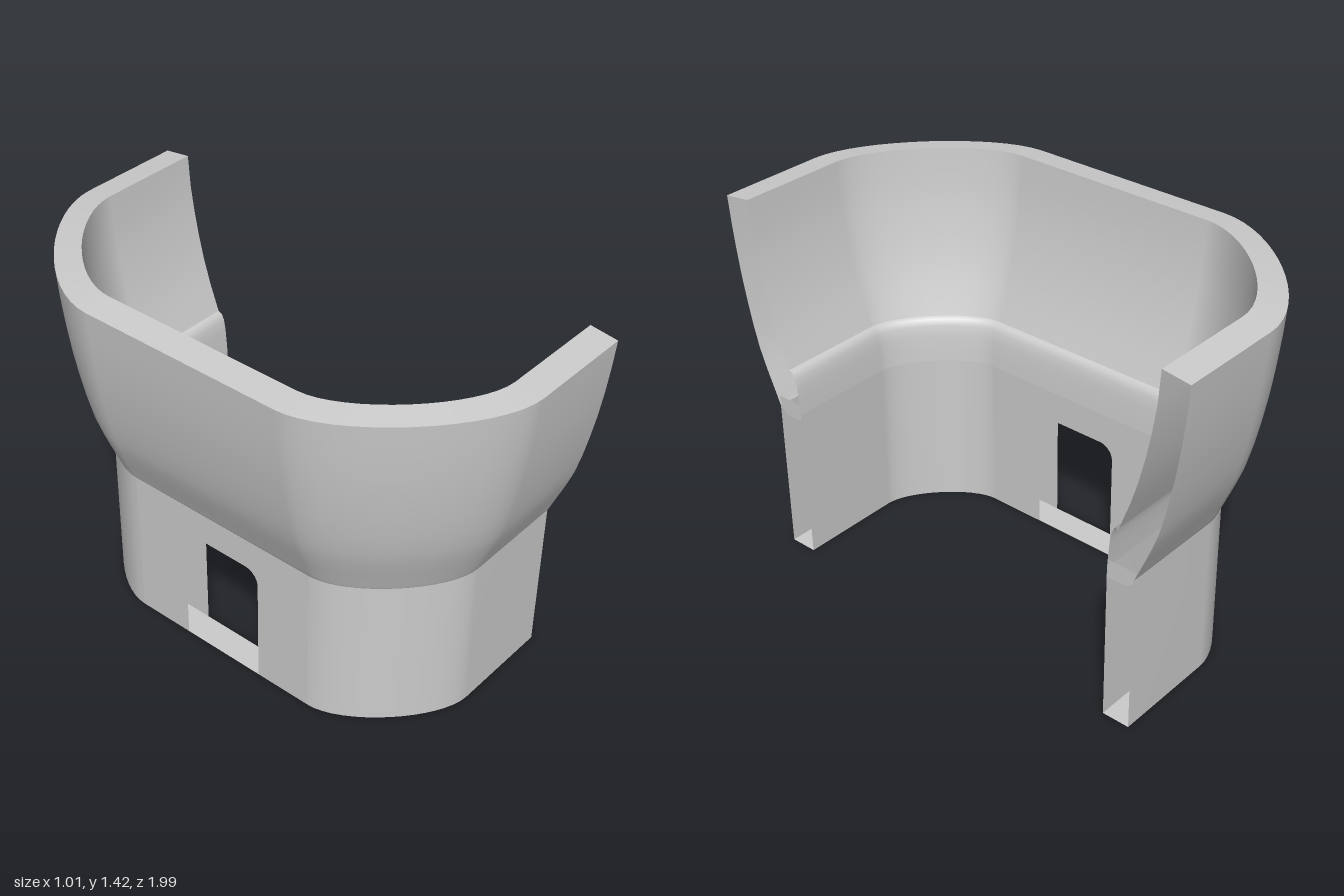
import * as THREE from 'three';

const CX = 0.08, CZ = 0.41, STEPS = 16; // corner centres and corner smoothness
const BAND = 0.615;                     // top of the straight lower band
const R_IN = 0.3, R_OUT = 0.408;        // lower wall offsets from the corner centres
const HANDLE = 0.38;                    // corner curve handle, flatter than a circle

const material = new THREE.MeshStandardMaterial({ color: 0xcccccc, side: THREE.DoubleSide });

// Quarter corner from (0, 1) to (1, 0)
const corner = new THREE.CubicBezierCurve(
  new THREE.Vector2(0, 1), new THREE.Vector2(HANDLE, 1),
  new THREE.Vector2(1, HANDLE), new THREE.Vector2(1, 0)).getPoints(STEPS);

// U-shaped plan line at offset r from the corner centres, open towards +x
function planLine(r, y) {
  const front = corner.map((p) => [CX - r * p.x, CZ + r * p.y]);
  const back = front.map(([x, z]) => [x, -z]).reverse();
  return [[0.491 + 0.008 * y, CZ + r], ...front, ...back, [0.491 - 0.002 * y, -CZ - r]];
}

// Sweep a profile of [offset, height] pairs round the plan line
function sweep(name, profile, skipBack = false) {
  const position = [], index = [];
  const n = 2 * STEPS + 4;
  for (const [r, y] of profile)
    for (const [x, z] of planLine(r, y)) position.push(x, y, z);
  for (let j = 0; j < profile.length - 1; j++) {
    for (let i = 0; i < n - 1; i++) {
      if (skipBack && i === STEPS + 1) continue;
      const a = j * n + i, b = a + n;
      index.push(a, b, a + 1, a + 1, b, b + 1);
    }
  }
  const geometry = new THREE.BufferGeometry();
  geometry.setAttribute('position', new THREE.Float32BufferAttribute(position, 3));
  geometry.setIndex(index);
  geometry.computeVertexNormals();
  return named(name, geometry);
}

function named(name, geometry) {
  const mesh = new THREE.Mesh(geometry, material);
  mesh.name = name;
  return mesh;
}

// Flat back panel with a round-cornered doorway
function doorPanel(name, r, turn) {
  const w = 0.175, h = 0.492, c = 0.06;
  const s = new THREE.Shape();
  s.moveTo(-CZ, 0);
  s.lineTo(-w, 0);
  s.lineTo(-w, h - c);
  s.absarc(-w + c, h - c, c, Math.PI, Math.PI / 2, true);
  s.absarc(w - c, h - c, c, Math.PI / 2, 0, true);
  s.lineTo(w, 0);
  s.lineTo(CZ, 0);
  s.lineTo(CZ, BAND);
  s.lineTo(-CZ, BAND);
  s.closePath();
  const mesh = named(name, new THREE.ShapeGeometry(s, 8).rotateY(turn));
  mesh.position.x = CX - r;
  return mesh;
}

// Small plate closing the wall end where the two bands meet
function endPlate(side) {
  const s = new THREE.Shape(
    [[0.712, 0.58], [0.79, 0.58], [0.815, 0.6], [0.828, 0.65], [0.714, 0.65]]
      .map(([z, y]) => new THREE.Vector2(-side * z, y)));
  const mesh = named(side > 0 ? 'frontEndPlate' : 'backEndPlate',
    new THREE.ShapeGeometry(s).rotateY(Math.PI / 2));
  mesh.position.x = 0.49;
  return mesh;
}

export function createModel() {
  const group = new THREE.Group();
  group.name = 'flaredWall';

  // Outer skin: straight band, then the flared bowl
  group.add(sweep('outerLowerWall', [[R_OUT, 0], [R_OUT, BAND]], true));
  group.add(sweep('outerFlare', [
    [R_OUT, BAND], [0.412, 0.622], [0.421, 0.645], [0.44, 0.69], [0.457, 0.73], [0.475, 0.775],
    [0.495, 0.83], [0.516, 0.91], [0.535, 1.0], [0.553, 1.1], [0.567, 1.2], [0.578, 1.3],
    [0.587, 1.41],
  ]));

  // Rim, slightly higher on the inside
  group.add(sweep('rim', [[0.587, 1.41], [0.48, 1.424]]));

  // Inner skin: bowl, rounded lip, straight band
  group.add(sweep('innerFlare', [
    [0.48, 1.424], [0.471, 1.3], [0.456, 1.2], [0.437, 1.1],
    [0.413, 1.0], [0.383, 0.9], [0.343, 0.79],
  ]));
  group.add(sweep('innerLip', [
    [0.343, 0.79], [0.326, 0.783], [0.315, 0.76], [0.308, 0.72], [0.303, 0.66], [R_IN, BAND],
  ]));
  group.add(sweep('innerLowerWall', [[R_IN, BAND], [R_IN, 0]], true));

  // Base strip and doorway panels
  group.add(sweep('base', [[R_IN, 0], [R_OUT, 0]]));
  group.add(doorPanel('outerDoorPanel', R_OUT, -Math.PI / 2));
  group.add(doorPanel('innerDoorPanel', R_IN, Math.PI / 2));

  for (const side of [1, -1]) group.add(endPlate(side));
  return group;
}
